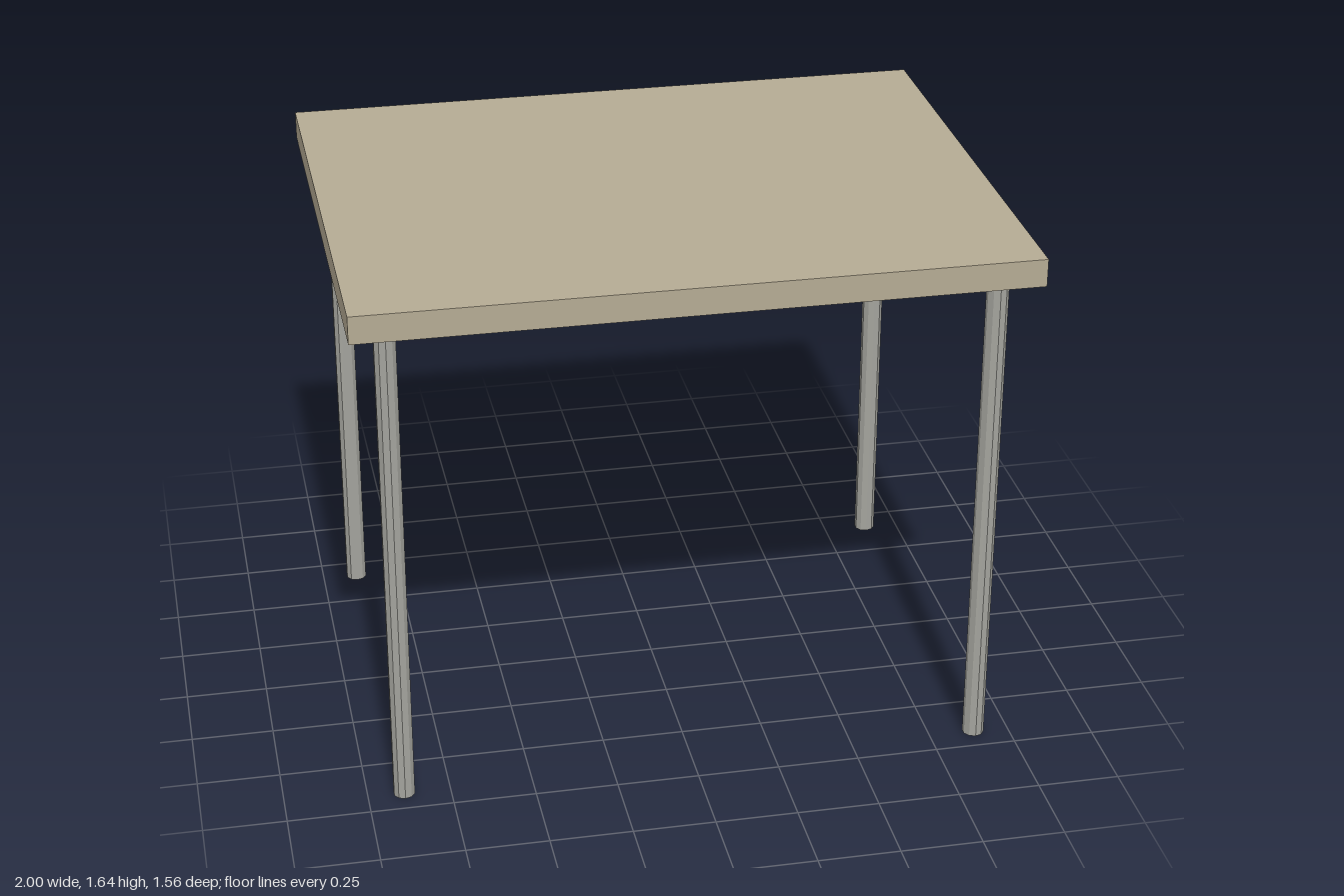
import * as THREE from 'three';

export function createModel() {
  const group = new THREE.Group();
  const wood = new THREE.MeshStandardMaterial({ color: 0xb5ab94 });
  const grey = new THREE.MeshStandardMaterial({ color: 0xa4a49e, flatShading: true });

  const underside = 1.56, height = 1.645;

  // Table top: wood all round, grey on the bottom face
  const top = new THREE.Mesh(
    new THREE.BoxGeometry(2, height - underside, 1.556),
    [wood, wood, wood, grey, wood, wood]
  );
  top.name = 'tableTop';
  top.position.y = (height + underside) / 2;
  group.add(top);

  // Four faceted round legs, inset from the corners
  const legGeometry = new THREE.CylinderGeometry(0.033, 0.033, underside, 10);
  for (const [sx, side] of [[1, 'Left'], [-1, 'Right']]) {
    for (const [sz, end] of [[1, 'front'], [-1, 'back']]) {
      const leg = new THREE.Mesh(legGeometry, grey);
      leg.name = `${end}${side}Leg`;
      leg.position.set(sx * 0.89, underside / 2, sz * 0.667);
      group.add(leg);
    }
  }

  return group;
}
